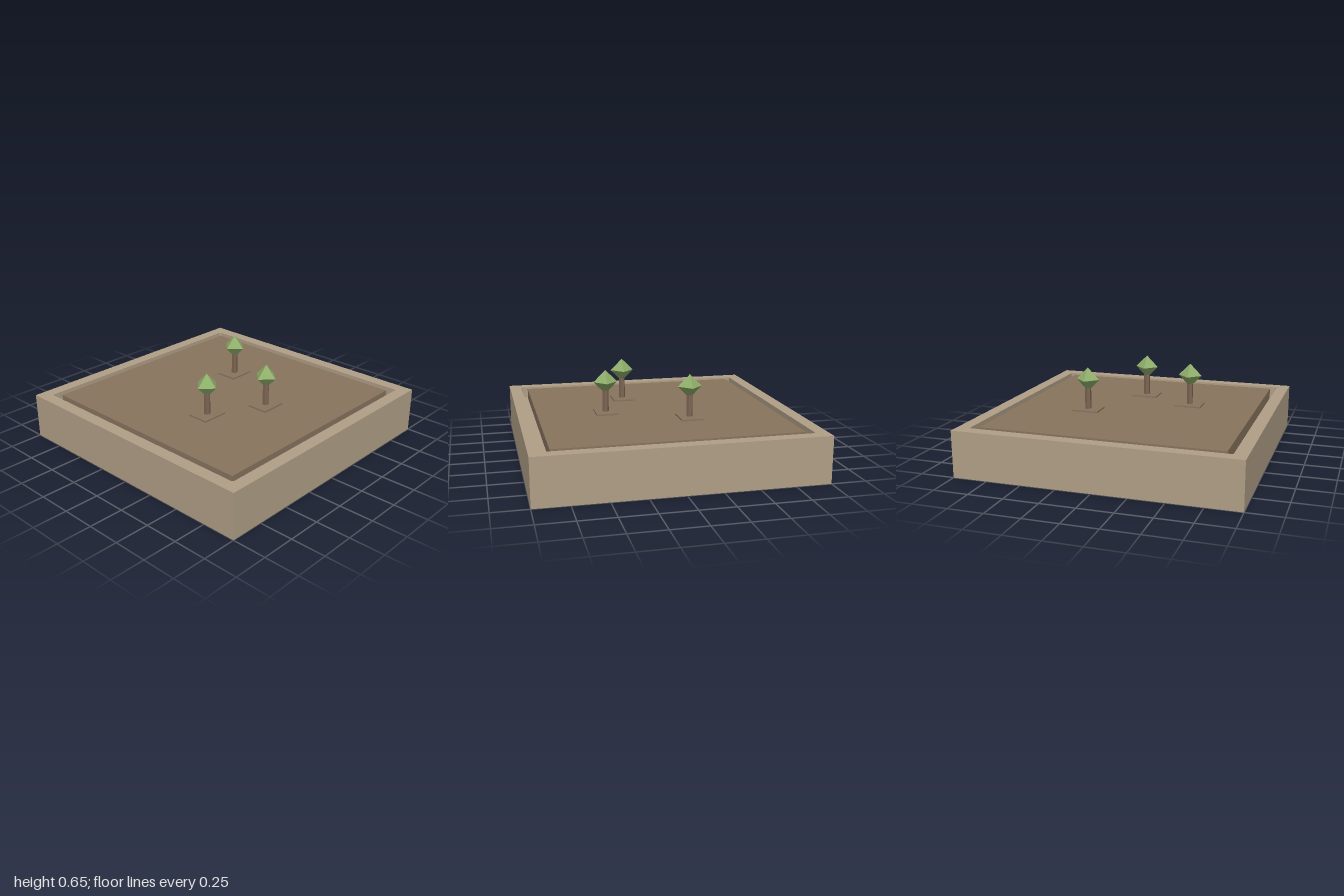
import * as THREE from 'three';

export function createModel() {
  const model = new THREE.Group();
  const material = (name, color) => {
    const m = new THREE.MeshStandardMaterial({ color, flatShading: true });
    m.name = name;
    return m;
  };
  const stone = material('stone', 0xb09f86);
  const soil = material('soil', 0x88745e);
  const bark = material('bark', 0x7d6653);
  const leaf = material('leaf', 0x8fae6a);

  const add = (parent, name, geometry, mat, x, y, z) => {
    const mesh = new THREE.Mesh(geometry, mat);
    mesh.name = name;
    mesh.position.set(x, y, z);
    parent.add(mesh);
    return mesh;
  };

  // Square outline with chamfered corners
  const square = (PathType, h, c) => {
    const p = new PathType();
    p.moveTo(-h + c, -h);
    p.lineTo(h - c, -h);
    p.lineTo(h, -h + c);
    p.lineTo(h, h - c);
    p.lineTo(h - c, h);
    p.lineTo(-h + c, h);
    p.lineTo(-h, h - c);
    p.lineTo(-h, -h + c);
    p.closePath();
    return p;
  };

  const rimTop = 0.335;
  const floorTop = 0.25;

  // Solid base below the groove floor
  add(model, 'base', new THREE.BoxGeometry(2, floorTop, 2), stone, 0, floorTop / 2, 0);

  // Raised rim with a nearly square opening
  const rimShape = new THREE.Shape([[-1, -1], [1, -1], [1, 1], [-1, 1]].map(([x, y]) => new THREE.Vector2(x, y)));
  rimShape.holes.push(square(THREE.Path, 0.91, 0.012));
  const rim = new THREE.ExtrudeGeometry(rimShape, { depth: rimTop - floorTop, bevelEnabled: false });
  rim.rotateX(-Math.PI / 2);
  add(model, 'rim', rim, stone, 0, floorTop, 0);

  // Planting bed standing inside the groove
  const bedTop = 0.332;
  add(model, 'bed', new THREE.BoxGeometry(1.72, bedTop - floorTop, 1.72), soil, 0, (bedTop + floorTop) / 2, 0);

  // Three small trees, each on a flat plot
  const trunkGeometry = new THREE.CylinderGeometry(0.023, 0.023, 0.17, 6);
  const crownGeometry = new THREE.OctahedronGeometry(0.088);
  const plotGeometry = new THREE.BoxGeometry(0.195, 0.012, 0.16);
  for (const [x, z] of [[-0.36, 0.16], [0.04, 0.36], [0.32, -0.2]]) {
    const tree = new THREE.Group();
    tree.name = 'tree';
    tree.position.set(x, bedTop, z);
    add(tree, 'plot', plotGeometry, soil, 0, 0.005, 0);
    add(tree, 'trunk', trunkGeometry, bark, 0, 0.09, 0);
    add(tree, 'crown', crownGeometry, leaf, 0, 0.23, 0);
    model.add(tree);
  }
  return model;
}
